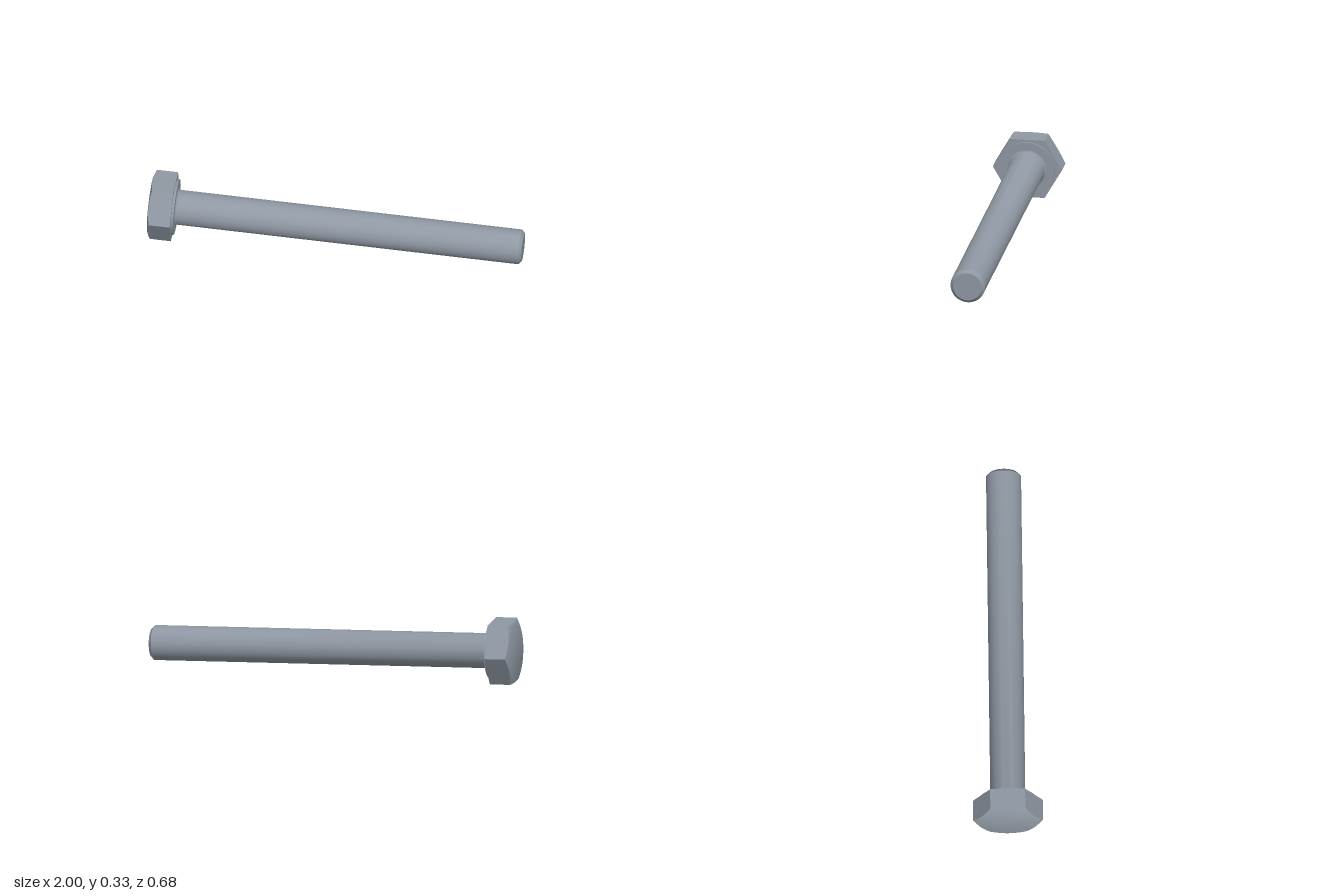
import * as THREE from 'three';
import { toCreasedNormals } from 'three/addons/utils/BufferGeometryUtils.js';

const CREASE = 0.7;

// Solid of revolution about the bolt axis (local y), profile from head end to tip
function turned(points, segments) {
  return new THREE.LatheGeometry(points.map(([r, y]) => new THREE.Vector2(r, y)), segments);
}

// Hexagonal head: the rim rings are pushed out to a hexagon, the top rim follows a conical chamfer
function headGeometry(cornerRadius, height) {
  const apothem = cornerRadius * Math.cos(Math.PI / 6);
  const flatRadius = 0.153, slope = 0.4;
  const top = -height - (cornerRadius - flatRadius) * slope;
  const geo = turned([[0, top], [flatRadius, top], [1, -height], [1, 0], [0, 0]], 48);
  const p = geo.attributes.position;
  const side = Math.PI / 3;
  for (let i = 0; i < p.count; i++) {
    const x = p.getX(i), y = p.getY(i), z = p.getZ(i);
    if (Math.hypot(x, z) < 0.9) continue;
    const a = (Math.atan2(x, z) + 2 * Math.PI + 1e-6) % side;
    const r = apothem / Math.cos(a - side / 2);
    p.setXYZ(i, x * r, y < -0.01 ? -height - (cornerRadius - r) * slope : 0, z * r);
  }
  return toCreasedNormals(geo, CREASE);
}

export function createModel() {
  const steel = new THREE.MeshStandardMaterial({ color: 0x8f98a3 });
  steel.name = 'steel grey';

  const bolt = new THREE.Group();
  bolt.name = 'bolt';
  const add = (name, geo) => {
    const mesh = new THREE.Mesh(geo, steel);
    mesh.name = name;
    bolt.add(mesh);
  };

  add('hexHead', headGeometry(0.186, 0.113));

  // Thin round bearing face under the head
  const step = 0.012;
  add('washerFace', toCreasedNormals(turned([[0.149, -0.002], [0.149, step], [0.08, step]], 48), CREASE));

  // Shank with a small root fillet and a chamfered tip
  const r = 0.093, fillet = 0.014, length = 1.87;
  const profile = [];
  for (let i = 0; i <= 4; i++) {
    const a = (i / 4) * Math.PI / 2;
    profile.push([r + fillet * (1 - Math.sin(a)), step + fillet * (1 - Math.cos(a))]);
  }
  profile.push([r, length - 0.016], [0.0765, length], [0, length]);
  add('shank', toCreasedNormals(turned(profile, 48), CREASE));

  // Lay the bolt down along its slanted axis, head corners towards front and back
  const root = new THREE.Vector3(-0.847, 0.165, -0.137);
  const axis = new THREE.Vector3(0.98, 0.094, 0.25).sub(root).normalize();
  const across = new THREE.Vector3(0, 0, 1).addScaledVector(axis, -axis.z).normalize();
  const up = new THREE.Vector3().crossVectors(axis, across);
  bolt.quaternion.setFromRotationMatrix(new THREE.Matrix4().makeBasis(up, axis, across));
  bolt.position.copy(root);

  const model = new THREE.Group();
  model.name = 'hexBolt';
  model.add(bolt);
  return model;
}
